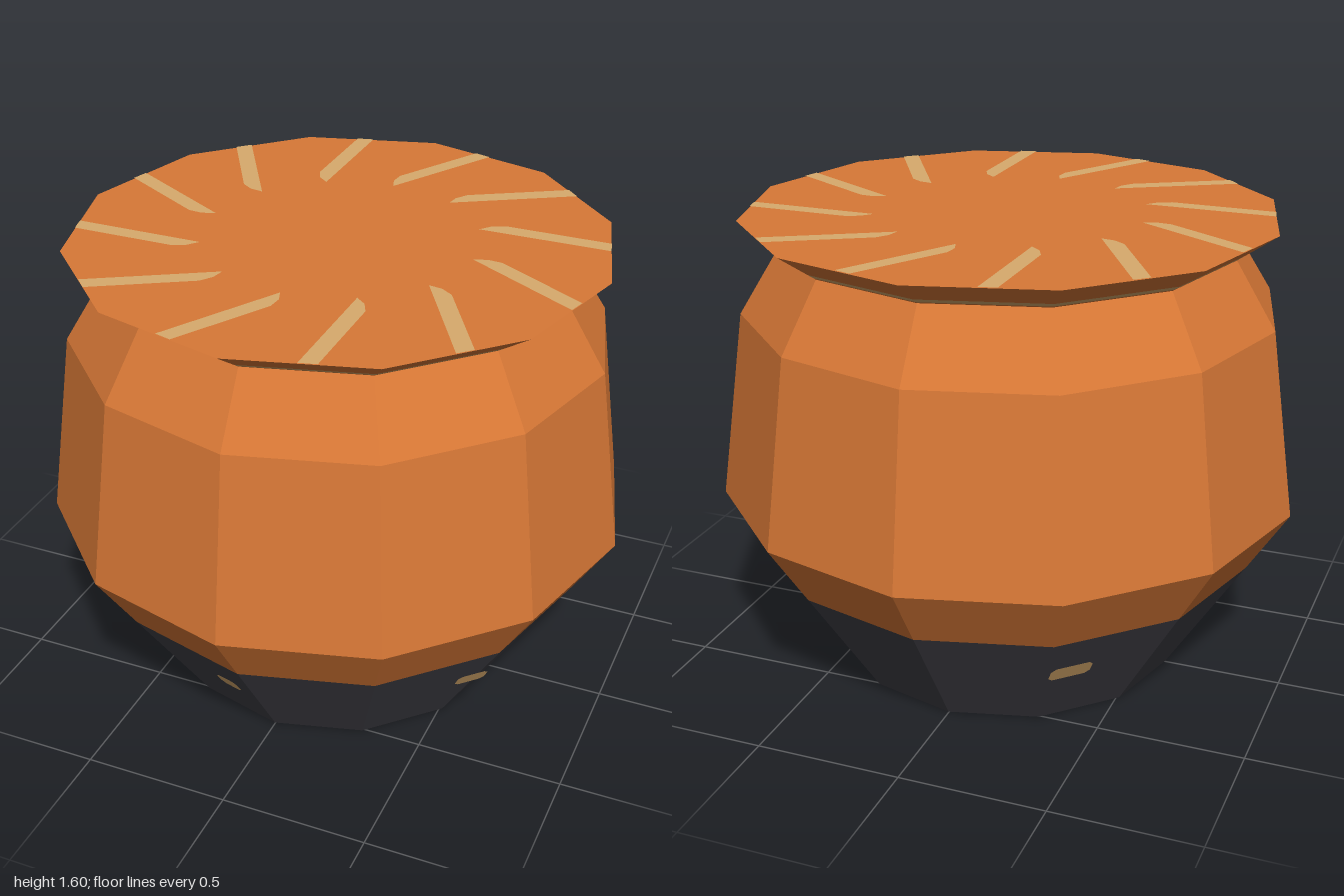
import * as THREE from 'three';

const SIDES = 12;
const STEP = (Math.PI * 2) / SIDES;

function makeMaterial(name, color) {
  const m = new THREE.MeshStandardMaterial({ color, flatShading: true });
  m.name = name;
  return m;
}

export function createModel() {
  const model = new THREE.Group();
  model.name = 'pot';

  const clay = makeMaterial('orangeClay', 0xd87836);
  const charcoal = makeMaterial('charcoalGlaze', 0x414047);
  const tan = makeMaterial('tanPaint', 0xd8aa6c);

  const add = (name, geometry, material, parent = model) => {
    const mesh = new THREE.Mesh(geometry, material);
    mesh.name = name;
    parent.add(mesh);
    return mesh;
  };

  // Faceted band turned from a profile of [radius, height] points, bottom to top
  const band = (name, profile, material) =>
    add(name, new THREE.LatheGeometry(profile.map(p => new THREE.Vector2(...p)), SIDES), material);

  const flatShape = points => new THREE.ShapeGeometry(
    new THREE.Shape(points.map(p => new THREE.Vector2(...p))));

  // Walls
  const lowerRadius = y => 0.59 + (0.41 * y) / 0.64;
  band('lowerWall', [[0.59, 0], [lowerRadius(0.42), 0.42]], charcoal);
  band('upperWall', [[lowerRadius(0.42), 0.42], [1, 0.64], [0.91, 1.28], [0.772, 1.503]], clay);

  // Flared rim with a thin tan ring
  const rimRadius = y => 0.772 + (y - 1.503) * 1.43;
  const rimBand = (name, y0, y1, material) =>
    band(name, [[rimRadius(y0), y0], [rimRadius(y1), y1]], material);
  rimBand('rimBase', 1.503, 1.508, clay);
  rimBand('rimRing', 1.508, 1.523, tan);
  rimBand('rimFlare', 1.523, 1.596, clay);

  // Flat lid and underside
  add('lid', new THREE.CircleGeometry(rimRadius(1.596), SIDES).rotateX(-Math.PI / 2), clay).position.y = 1.596;
  add('underside', new THREE.CircleGeometry(0.59, SIDES).rotateX(Math.PI / 2), clay);

  // Pinwheel stripes on the lid and dark teeth around the underside
  const stripes = new THREE.Group();
  stripes.name = 'lidStripes';
  stripes.position.y = 1.599;
  const teeth = new THREE.Group();
  teeth.name = 'undersideTeeth';
  teeth.position.y = -0.003;
  model.add(stripes, teeth);

  const stripe = flatShape([[0.40, 0.222], [0.845, 0.222], [0.831, 0.279], [0.475, 0.279], [0.43, 0.258]])
    .rotateX(-Math.PI / 2);
  const tooth = flatShape([[-0.07, 0.571], [-0.015, 0.46], [0.015, 0.46], [0.06, 0.574], [0, 0.59]])
    .rotateX(Math.PI / 2);
  for (let i = 0; i < SIDES; i++) {
    add('lidStripe', stripe, tan, stripes).rotation.y = i * STEP;
    add('undersideTooth', tooth, charcoal, teeth).rotation.y = i * STEP;
  }

  // Small tan spots lying on the sloping lower wall: [facet angle, sideways offset, width]
  const slope = Math.atan2(0.41 * Math.cos(STEP / 2), 0.64);
  const spots = [[-75, 0, 0.12], [-15, 0.094, 0.088], [45, 0.175, 0.11], [135, -0.11, 0.155], [225, -0.115, 0.15]];
  for (const [angle, offset, width] of spots) {
    const w = width / 2, h = 0.036, c = 0.016;
    const geometry = flatShape([
      [-w + c, -h], [w - c, -h], [w, -h + c], [w, h - c],
      [w - c, h], [-w + c, h], [-w, h - c], [-w, -h + c]]);
    geometry.rotateX(slope);
    geometry.translate(offset, 0.255, lowerRadius(0.255) * Math.cos(STEP / 2) + 0.004);
    add('wallSpot', geometry, tan).rotation.y = THREE.MathUtils.degToRad(angle);
  }

  return model;
}
